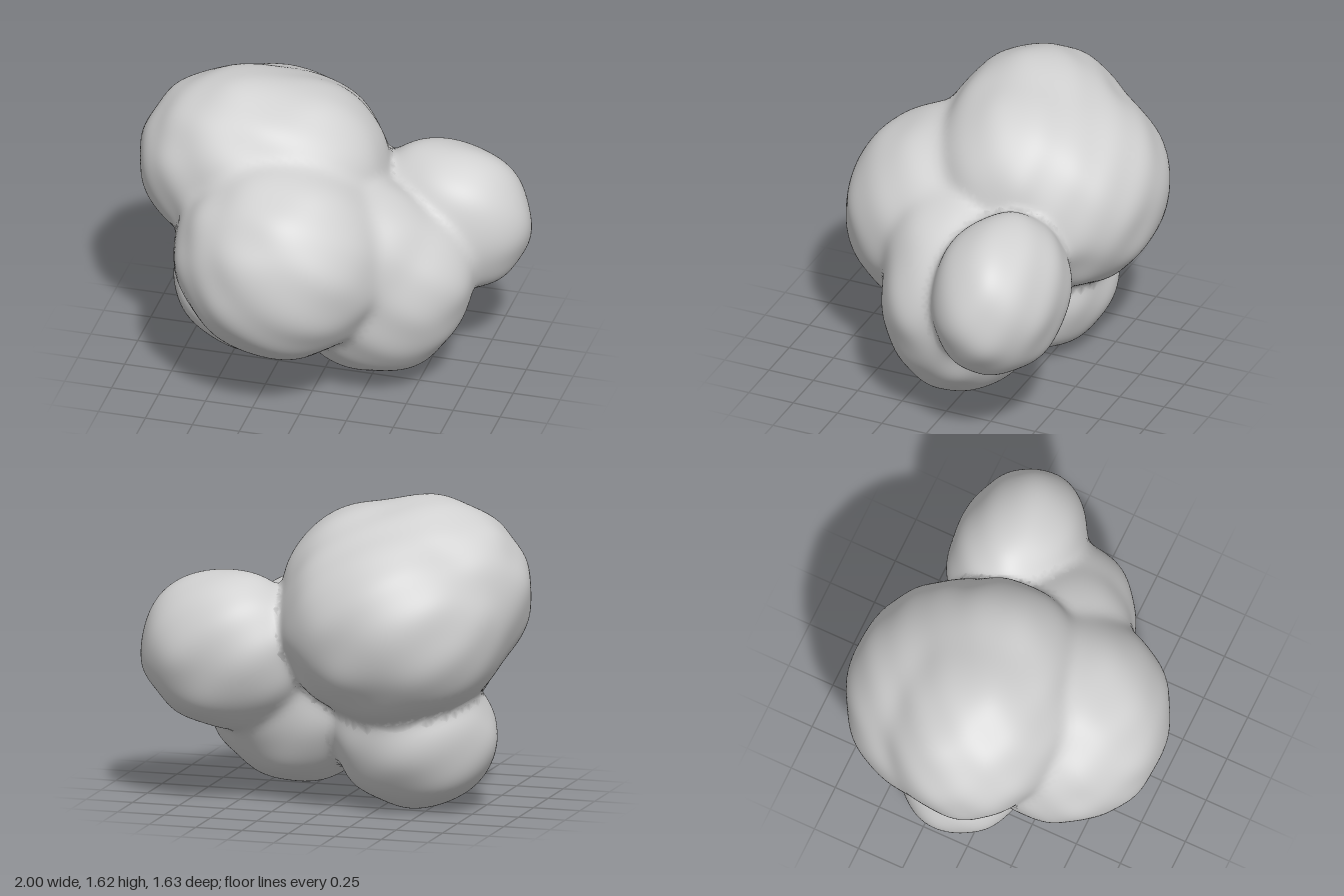
import * as THREE from 'three';
import { mergeVertices } from 'three/addons/utils/BufferGeometryUtils.js';

// Each lobe: name, centre, radii
const LOBES = [
  ['frontLobe', [-0.155, 0.8, 0.28], [0.555, 0.535, 0.53]],
  ['upperRightLobe', [-0.45, 1.12, -0.08], [0.55, 0.49, 0.475]],
  ['upperLeftLobe', [-0.22, 1.1, -0.12], [0.51, 0.47, 0.47]],
  ['backLobe', [-0.335, 0.975, -0.29], [0.585, 0.52, 0.53]],
  ['sideLobe', [0.55, 0.805, -0.33], [0.45, 0.41, 0.335]],
  ['lowerLeftLobe', [0.265, 0.53, 0.0], [0.465, 0.465, 0.4]],
  ['lowerSideLobe', [0.36, 0.63, 0.0], [0.42, 0.38, 0.37]],
  ['shoulderLobe', [0.18, 0.77, 0.06], [0.43, 0.39, 0.38]],
  ['lowerRightLobe', [-0.41, 0.385, -0.15], [0.43, 0.385, 0.36]],
].map(([name, c, r]) => ({ name, c: new THREE.Vector3(...c), r: new THREE.Vector3(...r) }));

const BLEND = 0.024; // softness of the seams
const REACH = 0.07; // furthest a skin is pushed out

// Approximate signed distance to one ellipsoid
function lobeDistance(p, { c, r }) {
  const q = p.clone().sub(c).divide(r);
  const k0 = q.length();
  const k1 = q.divide(r).length();
  return k1 < 1e-6 ? -Math.min(r.x, r.y, r.z) : (k0 * (k0 - 1)) / k1;
}

// Gentle uneven surface
function bumps({ x, y, z }) {
  return 0.005 * Math.sin(13 * x + 5 * y) * Math.sin(12 * y - 6 * z + 1) +
    0.004 * Math.sin(19 * z + 8 * x + 2) * Math.sin(17 * y + 9 * x);
}

// Softly blended union of all lobes
function field(p) {
  let sum = 0;
  for (const lobe of LOBES) sum += Math.exp(-lobeDistance(p, lobe) / BLEND);
  return -BLEND * Math.log(sum) - bumps(p);
}

function fieldNormal(p) {
  const e = 0.012;
  const slope = (x, y, z) => {
    const d = new THREE.Vector3(x, y, z).multiplyScalar(e);
    return field(p.clone().add(d)) - field(p.clone().sub(d));
  };
  return new THREE.Vector3(slope(1, 0, 0), slope(0, 1, 0), slope(0, 0, 1)).normalize();
}

// An ellipsoid whose skin is pushed out to the blended surface near the seams
function lobeGeometry(lobe) {
  let geo = new THREE.IcosahedronGeometry(1, 22);
  geo.deleteAttribute('uv');
  geo.deleteAttribute('normal');
  geo = mergeVertices(geo);
  const pos = geo.attributes.position;
  const normals = [];
  const p = new THREE.Vector3();
  for (let i = 0; i < pos.count; i++) {
    const unit = new THREE.Vector3().fromBufferAttribute(pos, i);
    const out = unit.clone().divide(lobe.r).normalize();
    const base = unit.multiply(lobe.r).add(lobe.c);
    let push = 0;
    p.copy(base);
    for (let step = 0; step < 8; step++) {
      push = THREE.MathUtils.clamp(push - field(p), -0.02, REACH);
      p.copy(base).addScaledVector(out, push);
    }
    p.y = Math.max(p.y, 0);
    pos.setXYZ(i, p.x, p.y, p.z);
    normals.push(...fieldNormal(p).toArray());
  }
  geo.setAttribute('normal', new THREE.Float32BufferAttribute(normals, 3));
  return geo;
}

export function createModel() {
  const group = new THREE.Group();
  group.name = 'lumpyCluster';
  const grey = new THREE.MeshStandardMaterial({ color: 0xd0d0d0 });
  grey.name = 'lightGrey';
  for (const lobe of LOBES) {
    const mesh = new THREE.Mesh(lobeGeometry(lobe), grey);
    mesh.name = lobe.name;
    group.add(mesh);
  }
  return group;
}
